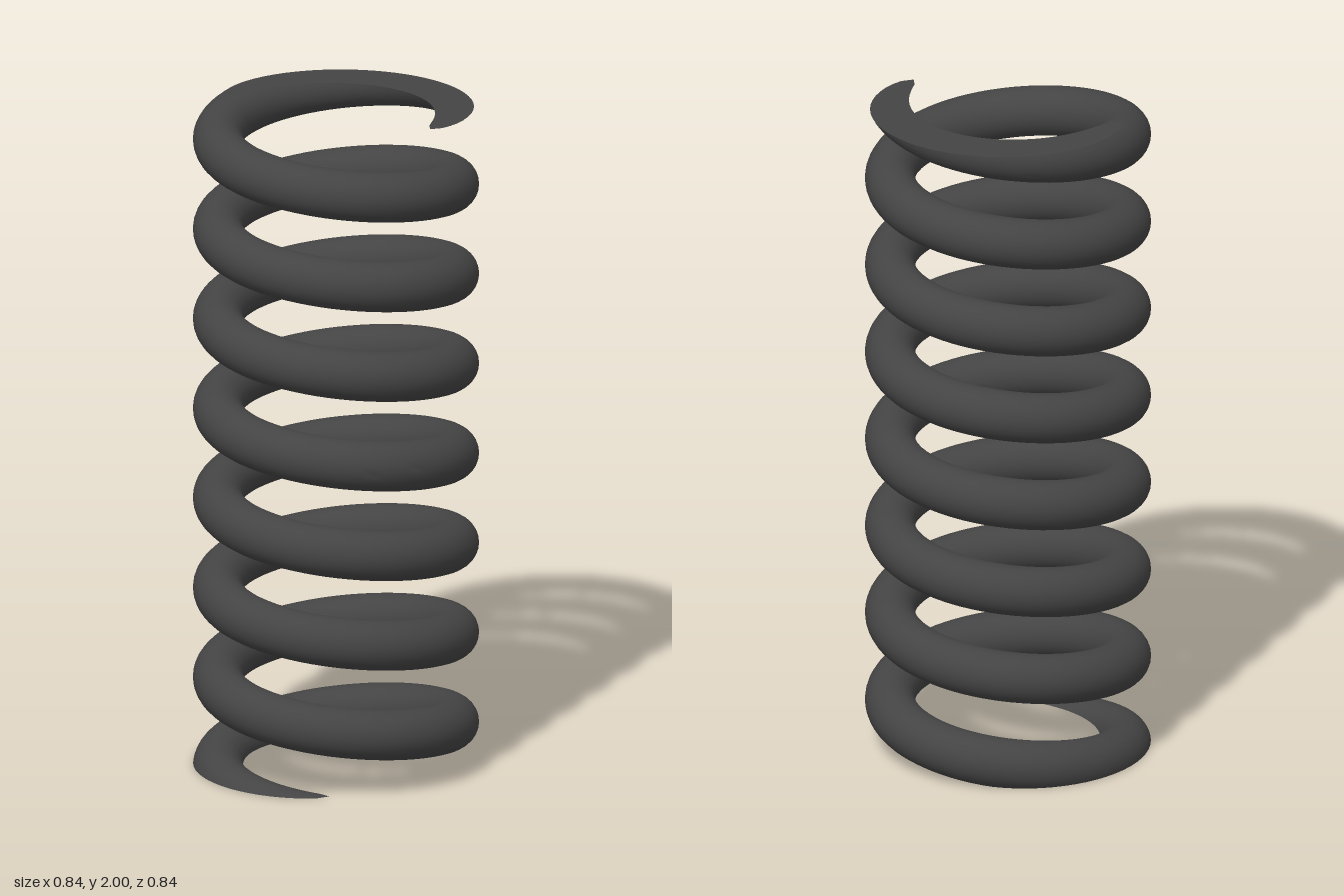
import * as THREE from 'three';
import { mergeGeometries, toCreasedNormals } from 'three/addons/utils/BufferGeometryUtils.js';

const COIL_RADIUS = 0.346;
const WIRE_RADIUS = 0.074;
const PITCH = 0.274;
const HALF_HEIGHT = 1;
const MID_TURN = 3.12; // where along the helix the middle of the spring lies
const STEPS = 280;
const SIDES = 28;

// Lower half of the coil, centred on the origin, ground flat at the bottom.
// Each wire section is the arc above the ground plane, closed by a chord.
function lowerHalf() {
  const slope = Math.atan(PITCH / (2 * Math.PI * COIL_RADIUS));
  const c = Math.cos(slope), s = Math.sin(slope);
  const turns = (HALF_HEIGHT + WIRE_RADIUS * c) / PITCH;
  const positions = [], index = [];
  const ring = SIDES + 1;

  for (let i = 0; i <= STEPS; i++) {
    const t = -turns * (1 - i / STEPS);
    const a = t * 2 * Math.PI, y = t * PITCH;
    const cut = THREE.MathUtils.clamp((-HALF_HEIGHT - y) / (WIRE_RADIUS * c), -1, 1);
    const start = Math.asin(cut);
    const sweep = Math.PI - 2 * start;
    for (let j = 0; j <= SIDES; j++) {
      const phi = start + sweep * j / SIDES;
      const r = COIL_RADIUS + WIRE_RADIUS * Math.cos(phi);
      const v = WIRE_RADIUS * Math.sin(phi);
      positions.push(
        r * Math.cos(a) + v * s * Math.sin(a),
        y + v * c,
        r * Math.sin(a) - v * s * Math.cos(a)
      );
      if (i < STEPS) {
        const k = (j + 1) % ring; // the last strip is the flat ground face
        const p = i * ring + j, q = i * ring + k;
        index.push(p, q, q + ring, p, q + ring, p + ring);
      }
    }
  }
  const geometry = new THREE.BufferGeometry();
  geometry.setAttribute('position', new THREE.Float32BufferAttribute(positions, 3));
  geometry.setIndex(index);
  return geometry;
}

export function createModel() {
  const group = new THREE.Group();
  group.name = 'coilSpring';

  // The upper half is the lower half turned over about the x axis
  const lower = lowerHalf();
  const upper = lower.clone().rotateX(Math.PI);
  const geometry = toCreasedNormals(mergeGeometries([lower, upper]), 0.5);
  geometry.rotateY(-MID_TURN * 2 * Math.PI);
  geometry.translate(0, HALF_HEIGHT, 0);

  const coil = new THREE.Mesh(geometry, new THREE.MeshStandardMaterial({ color: 0x444444 }));
  coil.name = 'coil';
  group.add(coil);
  return group;
}
